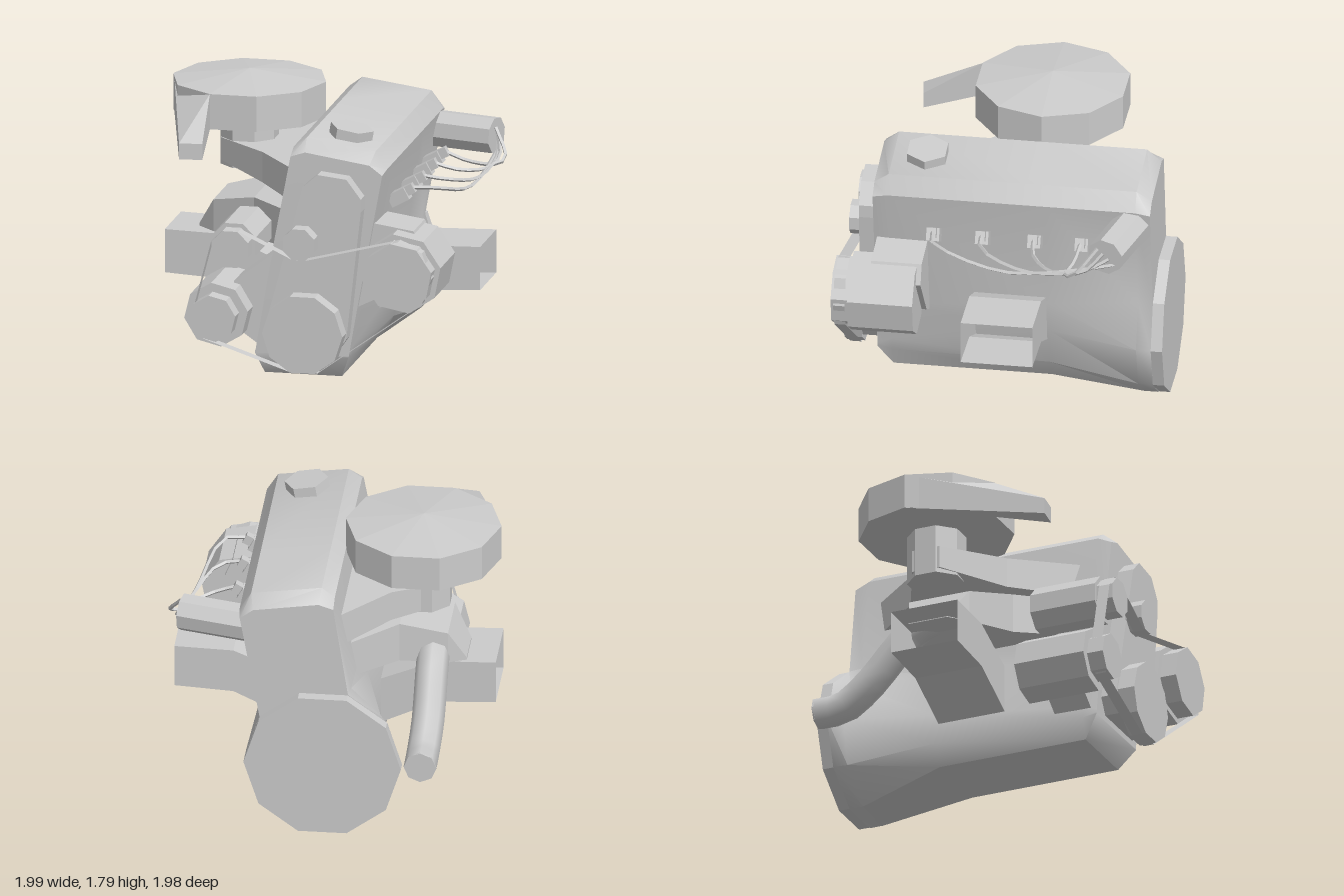
import * as THREE from 'three';
import { toCreasedNormals } from 'three/addons/utils/BufferGeometryUtils.js';

const smooth = new THREE.MeshStandardMaterial({ color: 0xcccccc });
const flat = new THREE.MeshStandardMaterial({ color: 0xcccccc, flatShading: true });
const open = new THREE.MeshStandardMaterial({ color: 0xcccccc, flatShading: true, side: THREE.DoubleSide });

// Skin over rings of [x, y, z] points, each counter-clockwise seen from the first ring's end
function loft(rings, caps = true) {
  const n = rings[0].length, index = [];
  for (let r = 0; r < rings.length - 1; r++) {
    for (let k = 0; k < n; k++) {
      const a = r * n + k, b = r * n + (k + 1) % n;
      index.push(a, a + n, b, a + n, b + n, b);
    }
  }
  const last = (rings.length - 1) * n;
  for (let k = 1; caps && k < n - 1; k++) index.push(0, k, k + 1, last, last + k + 1, last + k);
  const g = new THREE.BufferGeometry();
  g.setAttribute('position', new THREE.Float32BufferAttribute(rings.flat(2), 3));
  g.setIndex(index);
  return toCreasedNormals(g, 0.65);
}

// Rectangular ring across the x axis
const ringX = (x, y0, y1, z0, z1) => [[x, y0, z1], [x, y0, z0], [x, y1, z0], [x, y1, z1]];

// Polygonal drum along z, with a corner on the x axis unless turned
function drum(x, y, r, z0, z1, sides, turn = 0) {
  const g = new THREE.CylinderGeometry(r, r, z1 - z0, sides, 1, false, Math.PI / 2 + turn);
  return g.rotateX(Math.PI / 2).translate(x, y, (z0 + z1) / 2);
}

// Flat plate from an outline in x and y
function plate(points, z0, z1) {
  const shape = new THREE.Shape(points.map(p => new THREE.Vector2(...p)));
  return new THREE.ExtrudeGeometry(shape, { depth: z1 - z0, bevelEnabled: false }).translate(0, 0, z0);
}

export function createModel() {
  const model = new THREE.Group();
  const add = (name, geometry, material = flat, parent = model) => {
    const mesh = new THREE.Mesh(geometry, material);
    mesh.name = name;
    parent.add(mesh);
    return mesh;
  };

  // Leaning block with valve cover, sump and bell housing flare
  const top = [[0.52, 1.43], [0.45, 1.54], [0.02, 1.6], [-0.06, 1.54]];
  const lowTop = [[0.51, 1.41], [0.43, 1.47], [0.03, 1.53], [-0.06, 1.5]];
  const bell = [[-0.15, 0], [0.15, 0], [0.39, 0.18], [0.48, 0.46], [0.39, 0.74]];
  const bellLeft = [[-0.15, 0.92], [-0.39, 0.74], [-0.48, 0.46], [-0.39, 0.18]];
  const sections = [
    [0.78, [[-0.28, 0.26], [0.3, 0.26], [0.303, 0.27], [0.306, 0.29], [0.36, 0.6], ...lowTop,
      [-0.17, 0.92], [-0.2, 0.74], [-0.275, 0.29], [-0.28, 0.27]]],
    [0.69, [[-0.24, 0.12], [0.24, 0.12], [0.3, 0.25], [0.32, 0.33], [0.37, 0.6], ...top,
      [-0.17, 0.92], [-0.2, 0.74], [-0.27, 0.33], [-0.28, 0.25]]],
    [-0.28, [[-0.24, 0.12], [0.24, 0.12], [0.34, 0.26], [0.38, 0.5], [0.41, 0.7], ...top,
      [-0.17, 0.92], [-0.2, 0.74], [-0.27, 0.45], [-0.29, 0.26]]],
    [-0.83, [...bell, ...top, [-0.16, 0.92], [-0.34, 0.74], [-0.44, 0.46], [-0.38, 0.18]]],
    [-0.92, [...bell, ...lowTop, ...bellLeft]],
  ];
  add('engineBlock', loft(sections.map(([z, pts]) => pts.map(([x, y]) => [x, y, z]))), smooth);
  add('bellHousing', drum(0, 0.46, 0.48, -0.99, -0.92, 10));

  // Oil filler cap square to the leaning cover
  const cap = add('oilCap', new THREE.CylinderGeometry(0.135, 0.135, 0.08, 6, 1, false, Math.PI / 2));
  cap.position.set(0.25, 1.59, 0.48);
  cap.rotation.z = -0.17;

  // Timing cover
  add('timingCover', plate([[-0.21, 0.4], [-0.15, 0.3], [0.24, 0.3], [0.31, 0.4], [0.4, 1.2], [0.4, 1.28],
    [0.31, 1.4], [0.13, 1.42], [0.04, 1.34]], 0.77, 0.88));

  // Pulleys and the accessories they drive
  const T = Math.PI / 8;
  add('crankPulley', drum(0.06, 0.44, 0.25, 0.88, 0.99, 10));
  add('idlerPulley', drum(0.035, 1.0, 0.105, 0.87, 0.98, 8, T));
  const accessories = [
    ['compressor', 0.65, 0.83, 0.25, 0.215, 0.48, 0.2],
    ['alternator', -0.5, 0.51, 0.2, 0.145, 0.42, 0.15],
    ['steeringPump', -0.39, 0.95, 0.148, 0.122, 0.45, T],
  ];
  for (const [name, x, y, r, pulley, back, turn] of accessories) {
    add(name, drum(x, y, r, back, 0.88, 8, turn));
    add(name + 'Pulley', drum(x, y, pulley, 0.88, 0.985, 8, turn));
  }

  // Drive belt
  const belt = [[-0.64, 0.49], [-0.56, 0.38], [-0.02, 0.2], [0.15, 0.2], [0.26, 0.28], [0.8, 0.67],
    [0.86, 0.83], [0.8, 0.99], [0.65, 1.05], [0.07, 0.9], [0, 0.9], [-0.34, 1.06], [-0.43, 1.07], [-0.51, 0.99]];
  add('driveBelt', loft([0.97, 0.9].map(z => belt.map(([x, y]) => [x, y, z])), false), open);

  // Accessory brackets
  add('compressorBracket', plate([[0.3, 0.55], [0.5, 0.65], [0.75, 0.95], [0.7, 1.07], [0.43, 1.11]], 0.45, 0.76));
  add('alternatorBracket', plate([[-0.36, 0.37], [-0.26, 0.3], [-0.12, 0.92], [-0.42, 0.69]], 0.5, 0.74));

  // Open box-section engine mounts
  for (const side of [1, -1]) {
    const mount = add(side > 0 ? 'leftMount' : 'rightMount', loft([
      ringX(0.98, 0.57, 0.84, -0.27, 0.17), ringX(0.62, 0.55, 0.83, -0.27, 0.17),
      ringX(0.28, 0.39, 0.69, -0.27, 0.17)], false), open);
    mount.scale.x = side;
  }

  // Air cleaner: drum, shallow cone lid, snorkel
  const cleaner = new THREE.Group();
  cleaner.name = 'airCleaner';
  cleaner.position.set(-0.53, 0, -0.17);
  model.add(cleaner);
  const polygon = (r0, r1, y0, y1, n) =>
    new THREE.CylinderGeometry(r0, r1, y1 - y0, n, 1, false, Math.PI / 2).translate(0, (y0 + y1) / 2, 0);
  add('cleanerBody', polygon(0.475, 0.475, 1.51, 1.73, 10), flat, cleaner);
  add('cleanerLid', polygon(0, 0.475, 1.73, 1.79, 10), flat, cleaner);
  add('carburettor', polygon(0.18, 0.18, 1.2, 1.52, 8).rotateY(T), flat, cleaner);
  add('snorkel', loft([
    [[-0.78, 1.41, 0.66], [-0.64, 1.41, 0.64], [-0.64, 1.51, 0.64], [-0.78, 1.51, 0.66]],
    [[-1, 1.51, -0.17], [-0.675, 1.51, 0.277], [-0.675, 1.73, 0.277], [-1, 1.73, -0.17]]]), open);

  // Intake and exhaust manifolds flaring toward the block
  add('intakeManifold', loft([
    ringX(-0.08, 1.16, 1.37, -0.75, 0.6), ringX(-0.36, 1.18, 1.37, -0.42, 0.22),
    ringX(-0.69, 1.23, 1.37, -0.26, -0.08)]), open);
  add('exhaustManifold', loft([
    ringX(-0.12, 0.88, 1.11, -0.62, 0.6), ringX(-0.4, 0.85, 1.1, -0.32, 0.28),
    ringX(-0.69, 0.83, 1.03, -0.28, 0.12), ringX(-0.8, 0.83, 0.85, -0.24, 0.02)]), open);
  const V = (x, y, z) => new THREE.Vector3(x, y, z);
  const pipe = new THREE.CatmullRomCurve3([V(-0.6, 0.93, -0.1), V(-0.6, 0.86, -0.3), V(-0.6, 0.58, -0.58),
    V(-0.59, 0.46, -0.76), V(-0.59, 0.45, -0.93)]);
  add('exhaustPipe', new THREE.TubeGeometry(pipe, 10, 0.1, 8),
    new THREE.MeshStandardMaterial({ color: 0xcccccc, side: THREE.DoubleSide }));
  add('exhaustPipeEnd', drum(-0.59, 0.45, 0.1, -0.93, -0.92, 8));

  // Distributor angled out of the rear of the block
  const distributor = add('distributor', new THREE.CylinderGeometry(0.115, 0.115, 0.46, 8));
  distributor.position.set(0.66, 1.315, -0.755);
  distributor.quaternion.setFromUnitVectors(V(0, 1, 0), V(0.97, 0, 0.24).normalize());

  // Spark plugs with leads sagging to the distributor
  [0.4, 0.1, -0.22, -0.51].forEach((z, i) => {
    const plug = add('sparkPlug' + (i + 1), new THREE.BoxGeometry(0.12, 0.08, 0.08));
    plug.position.set(0.53, 1.19, z);
    plug.rotation.z = 0.5;
    const tip = add('plugBoot' + (i + 1), new THREE.BoxGeometry(0.05, 0.06, 0.05));
    tip.position.set(0.6, 1.24, z);
    tip.rotation.z = 0.5;
    const end = V(0.89, 1.27 + 0.035 * i, -0.76 + 0.035 * i);
    const mid = i < 3
      ? [V(0.74, 1.25 - 0.02 * i, z - 0.02), V(0.86 + 0.015 * i, 1.15 + 0.02 * i, z * 0.5 - 0.27), V(0.9 + 0.015 * i, 1.23, -0.58)]
      : [V(0.76, 1.2, -0.49), V(0.94, 1.2, -0.46), V(0.98, 1.23, -0.52)];
    const lead = new THREE.CatmullRomCurve3([V(0.6, 1.25, z), ...mid, end]);
    add('plugLead' + (i + 1), new THREE.TubeGeometry(lead, 10, 0.012, 4));
  });

  return model;
}
